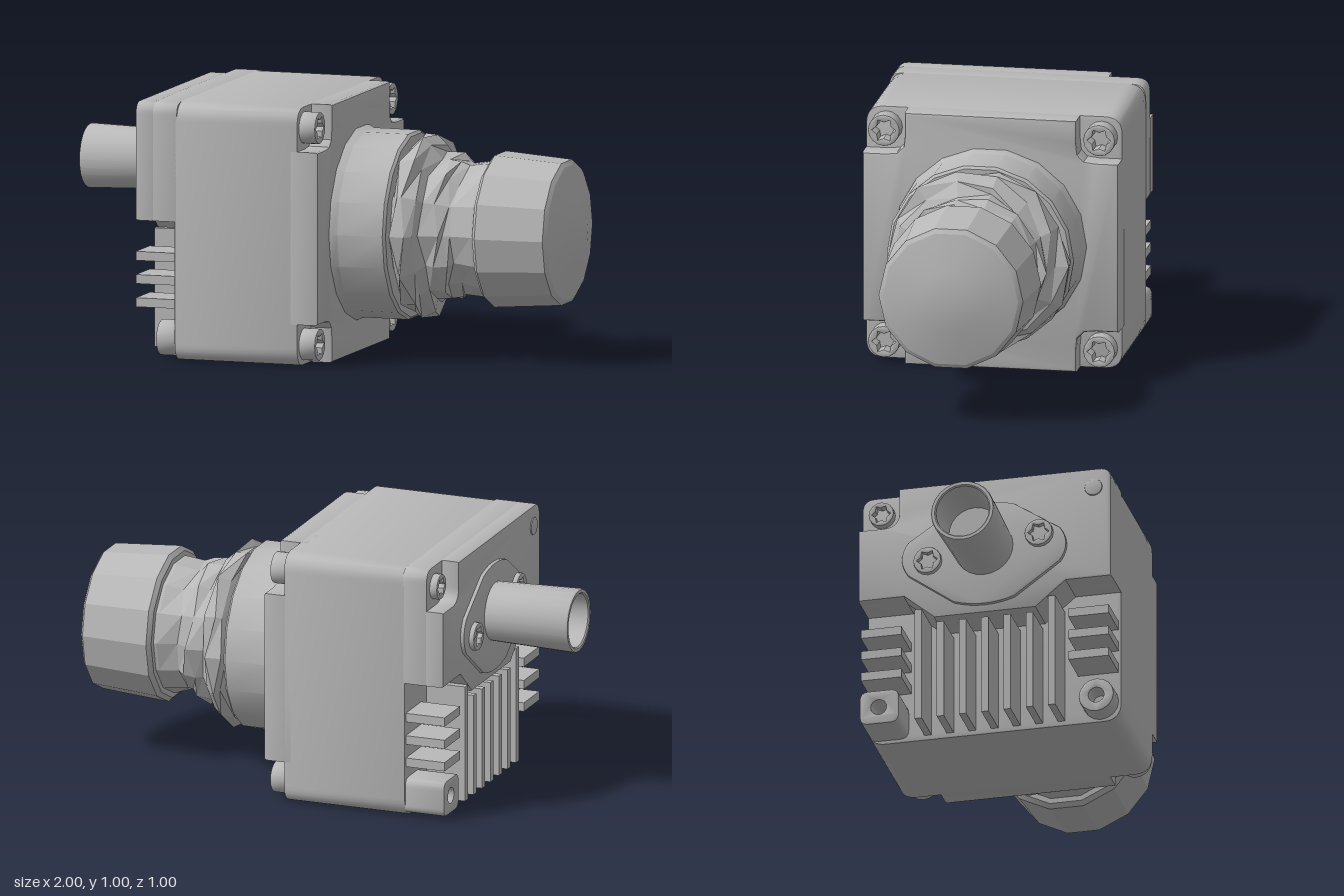
import * as THREE from 'three';
import { toCreasedNormals } from 'three/addons/utils/BufferGeometryUtils.js';

const metal = new THREE.MeshStandardMaterial({ color: 0xb8b8b8 });
metal.name = 'grey metal';

export function createModel() {
  const model = new THREE.Group();
  model.name = 'industrialCamera';

  const add = (name, geometry, x = 0, y = 0, z = 0) => {
    const mesh = new THREE.Mesh(geometry, metal);
    mesh.name = name;
    mesh.position.set(x, y, z);
    model.add(mesh);
    return mesh;
  };

  // Extrudes a shape (drawn as -z across, y up) from x0 to x1 with a small edge bevel
  const slab = (shape, x0, x1, bevel = 0.01) => {
    const g = new THREE.ExtrudeGeometry(shape, {
      depth: x1 - x0 - 2 * bevel, curveSegments: 8, bevelEnabled: bevel > 0,
      bevelSize: bevel, bevelThickness: bevel, bevelOffset: -bevel, bevelSegments: 2,
    });
    g.translate(0, 0, x0 + bevel).rotateY(Math.PI / 2);
    return toCreasedNormals(g, 0.6);
  };

  // Turned part along x, from [x, radius] pairs
  const turned = (profile, segments) => new THREE.LatheGeometry(
    profile.map(([x, r]) => new THREE.Vector2(r, x)), segments).rotateZ(-Math.PI / 2);

  const roundedRect = (u0, y0, u1, y1, r) => {
    const s = new THREE.Shape();
    s.moveTo(u0 + r, y0).lineTo(u1 - r, y0);
    s.quadraticCurveTo(u1, y0, u1, y0 + r).lineTo(u1, y1 - r);
    s.quadraticCurveTo(u1, y1, u1 - r, y1).lineTo(u0 + r, y1);
    s.quadraticCurveTo(u0, y1, u0, y1 - r).lineTo(u0, y0 + r);
    s.quadraticCurveTo(u0, y0, u0 + r, y0);
    return s;
  };

  // Six-lobe socket screw head
  const screw = (name, x0, x1, y, z, r) => {
    const head = new THREE.Shape().absarc(0, 0, r, 0, Math.PI * 2);
    const socket = Array.from({ length: 12 }, (_, i) => {
      const a = i * Math.PI / 6, q = r * (i % 2 ? 0.5 : 0.74);
      return new THREE.Vector2(Math.cos(a) * q, Math.sin(a) * q);
    });
    head.holes.push(new THREE.Path(socket));
    add(name, slab(head, x0, x1, 0.004), 0, y, z);
  };

  // Housing block
  add('housing', slab(roundedRect(-0.5, 0, 0.5, 1, 0.07), -0.48, 0.02, 0.004));

  // Front plate with a rounded notch in each corner
  const plate = new THREE.Shape();
  const notch = [[0.335, -0.5], [0.335, -0.41], [0.34, -0.365], [0.365, -0.34], [0.41, -0.335], [0.5, -0.335]];
  const outline = [];
  for (let k = 0; k < 4; k++) {
    for (const [u, v] of notch) {
      const p = new THREE.Vector2(u, v).rotateAround(new THREE.Vector2(), k * Math.PI / 2);
      outline.push(p.add(new THREE.Vector2(0, 0.5)));
    }
  }
  plate.setFromPoints(outline);
  add('frontPlate', slab(plate, -0.02, 0.105, 0.012));
  for (const y of [0.08, 0.92]) {
    for (const z of [-0.42, 0.42]) screw('cornerScrew', 0.018, 0.085, y, z, 0.062);
  }

  // Raised rear block, dipping in the middle; its outer layer has one notched corner
  const rearShape = (notched) => {
    const s = new THREE.Shape();
    s.moveTo(-0.5, 0.54).lineTo(-0.32, 0.54).lineTo(-0.2, 0.44).lineTo(0.2, 0.44);
    s.lineTo(0.32, 0.54).lineTo(0.5, 0.54);
    if (notched) {
      s.lineTo(0.5, 0.84).lineTo(0.4, 0.84).quadraticCurveTo(0.34, 0.84, 0.34, 0.9).lineTo(0.34, 1);
    } else {
      s.lineTo(0.5, 0.95).quadraticCurveTo(0.5, 1, 0.45, 1);
    }
    s.lineTo(-0.45, 1).quadraticCurveTo(-0.5, 1, -0.5, 0.95);
    return s;
  };
  add('rearBlock', slab(rearShape(false), -0.57, -0.47, 0.004));
  add('rearCover', slab(rearShape(true), -0.64, -0.56, 0.01));
  screw('notchScrew', -0.6, -0.565, 0.92, -0.42, 0.05);
  screw('rearCornerScrew', -0.645, -0.62, 0.92, 0.43, 0.035);

  // Connector flange with two screws
  const flange = new THREE.Shape();
  flange.moveTo(-0.3, 0.62).lineTo(-0.12, 0.49).quadraticCurveTo(0, 0.45, 0.12, 0.49);
  flange.lineTo(0.3, 0.62).quadraticCurveTo(0.35, 0.69, 0.3, 0.76);
  flange.lineTo(0.12, 0.88).quadraticCurveTo(0, 0.92, -0.12, 0.88);
  flange.lineTo(-0.3, 0.76).quadraticCurveTo(-0.35, 0.69, -0.3, 0.62);
  add('connectorFlange', slab(flange, -0.655, -0.62, 0.005));
  screw('flangeScrew', -0.675, -0.65, 0.67, -0.22, 0.055);
  screw('flangeScrew', -0.675, -0.65, 0.74, 0.22, 0.055);

  // Hollow connector tube
  add('connectorTube', toCreasedNormals(turned(
    [[-0.8, 0], [-0.8, 0.102], [-0.995, 0.105], [-1, 0.11], [-1, 0.122], [-0.995, 0.125], [-0.64, 0.115]], 24), 0.6),
  0, 0.707, 0);

  // Cooling fins: upright in the middle, level at both sides
  for (let i = 0; i < 7; i++) {
    const z = (i - 3) * 0.088;
    const top = Math.abs(z) > 0.2 ? 0.48 : 0.42;
    add('uprightFin', new THREE.BoxGeometry(0.17, top - 0.02, 0.028), -0.555, (top + 0.02) / 2, z);
  }
  for (const side of [-1, 1]) {
    for (const y of [0.22, 0.31, 0.4]) {
      add('sideFin', new THREE.BoxGeometry(0.17, 0.035, 0.16), -0.555, y, side * 0.41);
    }
  }

  // Lower rear screw bosses
  const boss = roundedRect(0.34, 0.015, 0.495, 0.155, 0.035);
  boss.holes.push(new THREE.Path().absarc(0.42, 0.085, 0.03, 0, Math.PI * 2));
  add('deepBoss', slab(boss, -0.64, -0.47, 0.006));
  const roundBoss = new THREE.Shape().absarc(-0.42, 0.08, 0.07, 0, Math.PI * 2);
  roundBoss.holes.push(new THREE.Path().absarc(-0.42, 0.08, 0.03, 0, Math.PI * 2));
  add('shortBoss', slab(roundBoss, -0.56, -0.47, 0.006));

  // Lens mount
  add('lensMount', toCreasedNormals(turned(
    [[0.09, 0.378], [0.115, 0.375], [0.135, 0.365], [0.318, 0.365], [0.328, 0.355], [0.328, 0.27]], 18), 0.5), 0, 0.5, 0);

  // Faceted focus barrel with uneven ridges
  const sides = 14;
  const rows = [[0.31, 0.29], [0.335, 0.305], [0.35, 0.345], [0.39, 0.36], [0.42, 0.32], [0.445, 0.28],
    [0.5, 0.285], [0.53, 0.265], [0.56, 0.25], [0.64, 0.265], [0.68, 0.265]];
  let barrel = turned(rows, sides);
  const pos = barrel.attributes.position;
  for (let i = 0; i < pos.count; i++) {
    const row = i % rows.length;
    if (row < 1 || row > 8) continue;
    const a = Math.floor(i / rows.length) % sides;
    const grow = 1 + 0.035 * Math.sin(a * 2.4 + row * 1.7);
    pos.setXYZ(i, pos.getX(i) + 0.014 * Math.sin(a * 3.7 + row * 2.3), pos.getY(i) * grow, pos.getZ(i) * grow);
  }
  barrel = barrel.toNonIndexed();
  barrel.computeVertexNormals();
  add('focusBarrel', barrel, 0, 0.5, 0);

  // Front cap with a shallow domed face
  add('lensCap', toCreasedNormals(turned(
    [[0.65, 0.23], [0.655, 0.285], [0.67, 0.302], [0.94, 0.282], [0.952, 0.265], [0.958, 0.24], [0.985, 0.12], [1, 0]], 14), 0.35),
  0, 0.5, 0);

  return model;
}
